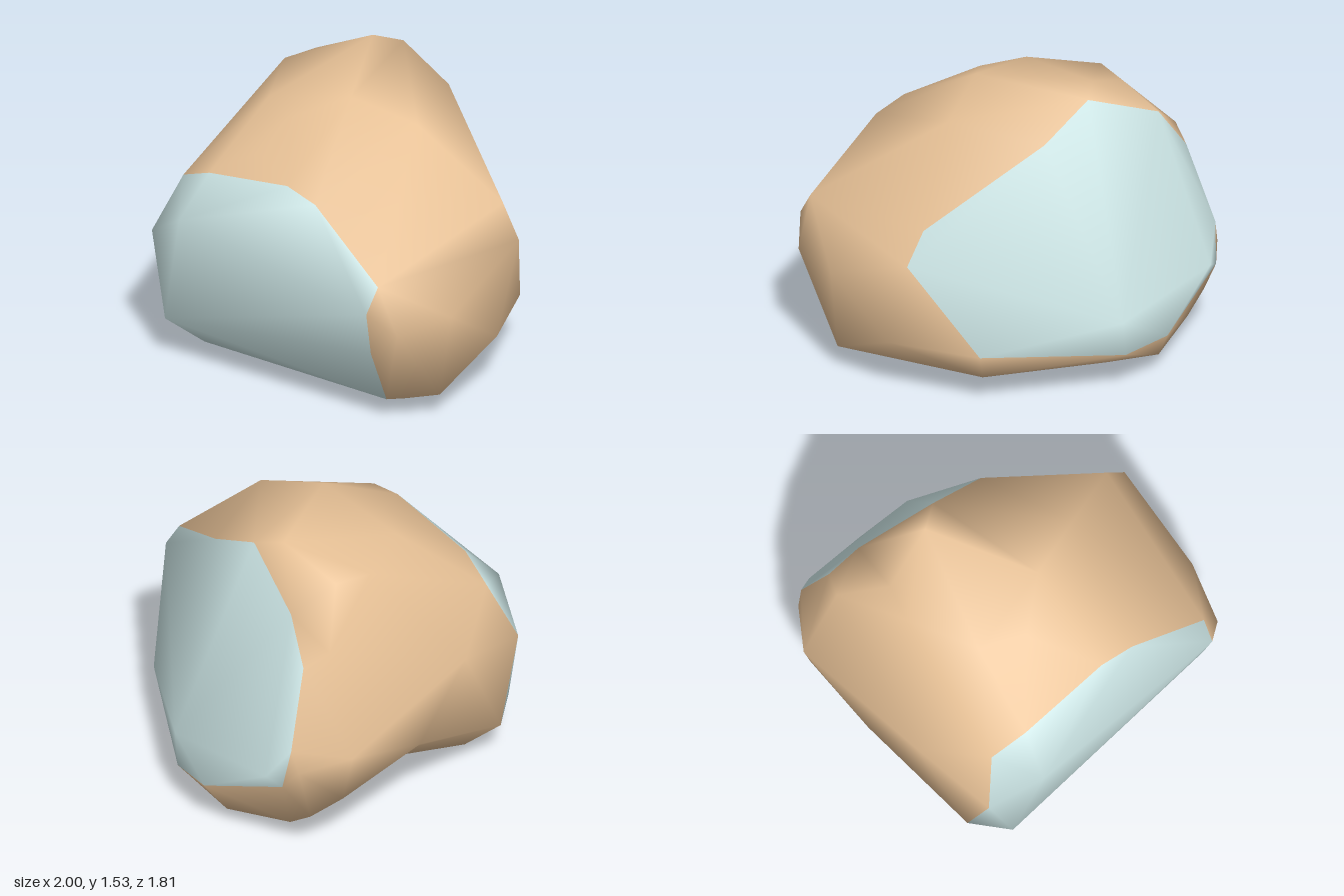
import * as THREE from 'three';
import { ConvexGeometry } from 'three/addons/geometries/ConvexGeometry.js';
import { mergeVertices } from 'three/addons/utils/BufferGeometryUtils.js';

// Corners of the front cut face: its rim, then its bulge
const frontCorners = [
  [0.90, 0.71, 0.53], [0.89, 0.84, 0.45], [0.45, 1.15, 0.53], [0.26, 1.19, 0.57],
  [-0.23, 1.10, 0.71], [-0.43, 1.01, 0.73], [-0.51, 0.70, 0.87], [-0.57, 0.22, 0.74],
  [-0.40, 0.03, 0.62], [0.67, 0.01, 0.12], [0.81, 0.13, 0.34], [0.87, 0.46, 0.48],
  [-0.22, 0.89, 0.905], [-0.38, 0.25, 0.88],
];

// Corners of the sloping back cut face: its rim, then its bulge
const backCorners = [
  [0.86, 0.83, -0.45], [0.75, 1.00, -0.43], [0.10, 1.37, -0.55], [-0.20, 1.515, -0.48],
  [-0.62, 1.33, -0.48], [-0.78, 1.10, -0.49], [-0.88, 0.68, -0.61], [-0.86, 0.46, -0.65],
  [-0.10, 0.18, -0.82], [0.56, 0.32, -0.67],
  [-0.79, 0.50, -0.71], [-0.43, 0.27, -0.88], [-0.15, 0.43, -0.905], [-0.17, 0.24, -0.90],
];

// Rounded stone between the two faces
const bodyCorners = [
  // crown
  [0.13, 1.50, 0.08], [-0.30, 1.54, -0.36], [0.42, 1.40, -0.13], [-0.57, 1.40, 0.00],
  [-0.57, 1.40, -0.20], [-0.30, 1.38, 0.29], [-0.05, 1.38, 0.33], [-0.05, 1.24, 0.53],
  [-0.80, 1.16, -0.35],
  // +x side
  [1.00, 0.60, 0.07], [0.99, 0.58, 0.40], [0.94, 0.14, 0.10], [0.88, 0.33, -0.30], [0.50, 0.16, -0.60],
  // -x side and lower lobe
  [-0.73, 0.82, 0.46], [-0.85, 0.47, 0.14], [-0.92, 0.62, -0.13], [-1.00, 0.62, -0.32],
  [-0.91, 0.55, -0.58], [-0.95, 0.35, -0.35], [-0.88, 0.24, -0.50], [-0.75, 0.14, -0.55],
  [-0.45, 0.10, -0.76],
];

// Corners around the hollow under the -x side, and its deepest point
const hollowRim = [
  [-0.85, 0.47, 0.14], [-0.95, 0.35, -0.35], [-0.88, 0.24, -0.50], [-0.75, 0.14, -0.55],
  [-0.45, 0.10, -0.76], [-0.57, 0.22, 0.74], [-0.40, 0.03, 0.62], [0.67, 0.01, 0.12],
];
const hollowPoint = [-0.50, 0.20, -0.08];

const key = (p) => p.map((v) => v.toFixed(3)).join();
const keySet = (points) => new Set(points.map((p) => key(p.map(Math.fround))));

export function createModel() {
  const corners = [...frontCorners, ...backCorners, ...bodyCorners].map((p) => new THREE.Vector3(...p));
  const hull = new ConvexGeometry(corners).getAttribute('position');
  const sets = { front: keySet(frontCorners), back: keySet(backCorners), hollow: keySet(hollowRim) };

  // Sort the hull's triangles into the cut faces, the hollow and the stone
  const faces = { front: [], back: [], hollow: [], body: [] };
  for (let i = 0; i < hull.count; i += 3) {
    const tri = [0, 1, 2].map((k) => [hull.getX(i + k), hull.getY(i + k), hull.getZ(i + k)]);
    const part = Object.keys(sets).find((name) => tri.every((p) => sets[name].has(key(p))));
    faces[part || 'body'].push(tri);
  }

  // Sink the hollow: fan its outline to the deepest point
  const edges = new Map();
  for (const t of faces.hollow) {
    for (let k = 0; k < 3; k++) {
      const a = t[k], b = t[(k + 1) % 3];
      if (!edges.delete(key(b) + '|' + key(a))) edges.set(key(a) + '|' + key(b), [a, b]);
    }
  }
  for (const [a, b] of edges.values()) faces.body.push([a, b, hollowPoint]);

  // Smooth normals run across the whole surface, over the colour borders
  const parts = [
    ['stoneBody', faces.body, 0xe8c297],
    ['frontCutFace', faces.front, 0xcbe4e4],
    ['backCutFace', faces.back, 0xcbe4e4],
  ];
  let surface = new THREE.BufferGeometry();
  const all = parts.flatMap(([, tris]) => tris).flat(2);
  surface.setAttribute('position', new THREE.Float32BufferAttribute(all, 3));
  surface = mergeVertices(surface, 1e-4);
  surface.computeVertexNormals();

  const group = new THREE.Group();
  group.name = 'boulder';
  const index = Array.from(surface.index.array);
  let start = 0;
  for (const [name, tris, color] of parts) {
    const geometry = new THREE.BufferGeometry();
    geometry.setAttribute('position', surface.getAttribute('position'));
    geometry.setAttribute('normal', surface.getAttribute('normal'));
    geometry.setIndex(index.slice(start, start + tris.length * 3));
    start += tris.length * 3;
    const mesh = new THREE.Mesh(geometry, new THREE.MeshStandardMaterial({ color }));
    mesh.name = name;
    group.add(mesh);
  }
  return group;
}
